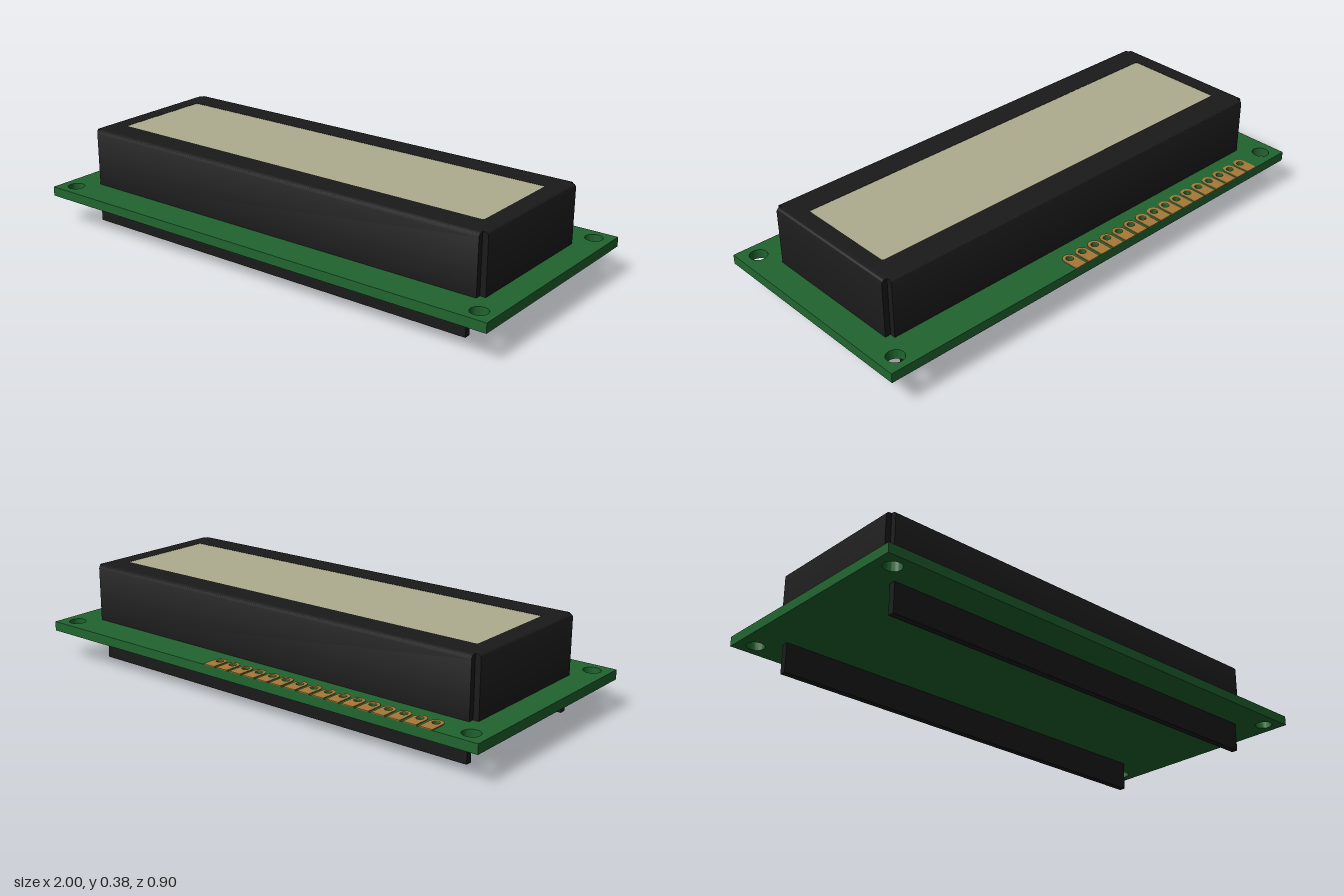
import * as THREE from 'three';
import { toCreasedNormals } from 'three/addons/utils/BufferGeometryUtils.js';

const mat = (color) => new THREE.MeshStandardMaterial({ color });
const BOARD_BOTTOM = 0.113, BOARD_TOP = 0.15, TOP = 0.375;
const HALF_X = 0.877, HALF_Z = 0.291, SHEET = 0.022; // bezel panel and sheet thickness
const PIN_Z = -0.39;

function roundedRect(path, x0, y0, x1, y1, r) {
  path.moveTo(x0 + r, y0);
  path.lineTo(x1 - r, y0);
  path.absarc(x1 - r, y0 + r, r, -Math.PI / 2, 0, false);
  path.lineTo(x1, y1 - r);
  path.absarc(x1 - r, y1 - r, r, 0, Math.PI / 2, false);
  path.lineTo(x0 + r, y1);
  path.absarc(x0 + r, y1 - r, r, Math.PI / 2, Math.PI, false);
  path.lineTo(x0, y0 + r);
  path.absarc(x0 + r, y0 + r, r, Math.PI, Math.PI * 1.5, false);
  return path;
}

function rect(x, z) {
  return new THREE.Shape([[-x, -z], [x, -z], [x, z], [-x, z]].map((p) => new THREE.Vector2(...p)));
}

// Circular hole in plan; plan shapes use (x, -z)
function hole(x, z, r) {
  return new THREE.Path().absarc(x, -z, r, 0, Math.PI * 2, true);
}

// Horizontal slab from a plan shape, between heights y0 and y1
function slab(shape, y0, y1, curveSegments = 12) {
  const g = new THREE.ExtrudeGeometry(shape, { depth: y1 - y0, bevelEnabled: false, curveSegments });
  g.rotateX(-Math.PI / 2).translate(0, y0, 0);
  return toCreasedNormals(g, 0.7);
}

export function createModel() {
  const model = new THREE.Group();
  const green = mat(0x20652f), black = mat(0x1a1a1a), copper = mat(0xa87838), glass = mat(0xaead8f);
  const add = (name, geometry, material, parent = model) => {
    const mesh = new THREE.Mesh(geometry, material);
    mesh.name = name;
    parent.add(mesh);
    return mesh;
  };

  // Circuit board with mounting holes and a row of pin holes
  const pinX = Array.from({ length: 16 }, (_, i) => -0.802 + i * 0.0635);
  const board = rect(1, 0.449);
  for (const x of [-0.935, 0.935]) {
    for (const z of [-0.388, 0.388]) board.holes.push(hole(x, z, 0.033));
  }
  for (const x of pinX) board.holes.push(hole(x, PIN_Z, 0.014));
  add('circuitBoard', slab(board, BOARD_BOTTOM, BOARD_TOP, 16), green);

  // Copper pads: square at the board edge, round around the pin hole
  const pads = new THREE.Group();
  pads.name = 'contactPads';
  model.add(pads);
  const padShape = new THREE.Shape();
  padShape.moveTo(0.026, 0.449);
  padShape.lineTo(-0.026, 0.449);
  padShape.lineTo(-0.026, -PIN_Z);
  padShape.absarc(0, -PIN_Z, 0.026, Math.PI, Math.PI * 2, false);
  padShape.holes.push(hole(0, PIN_Z, 0.014));
  const padGeometry = slab(padShape, BOARD_TOP, BOARD_TOP + 0.003);
  for (const x of pinX) add('contactPad', padGeometry, copper, pads).position.x = x;

  // Bezel: top panel with a window, and four bent sides leaving notched corners
  const bezel = new THREE.Group();
  bezel.name = 'displayBezel';
  model.add(bezel);
  const panel = rect(HALF_X, HALF_Z);
  const window = [-0.827, -0.201, 0.825, 0.203, 0.008];
  panel.holes.push(roundedRect(new THREE.Path(), ...window));
  add('bezelPanel', slab(panel, TOP - SHEET, TOP), black, bezel);

  const r = 0.014;
  const profile = new THREE.Shape();
  profile.moveTo(0, BOARD_TOP);
  profile.lineTo(SHEET, BOARD_TOP);
  profile.lineTo(SHEET, TOP - r);
  profile.absarc(SHEET - r, TOP - r, r, 0, Math.PI / 2, false);
  profile.lineTo(0, TOP);
  for (let i = 0; i < 4; i++) {
    const [distance, half] = i % 2 ? [HALF_Z, HALF_X] : [HALF_X, HALF_Z];
    const g = new THREE.ExtrudeGeometry(profile, { depth: 2 * half, bevelEnabled: false, curveSegments: 6 });
    g.translate(distance, 0, -half).rotateY(-i * Math.PI / 2);
    add('bezelSide', toCreasedNormals(g, 0.6), black, bezel);
  }

  // Display glass, almost flush in the window
  add('displayGlass', slab(roundedRect(new THREE.Shape(), ...window), TOP - SHEET, TOP - 0.001), glass);

  // Two long rails under the board
  for (const [name, z] of [['frontRail', 0.305], ['backRail', -0.3]]) {
    const rail = add(name, new THREE.BoxGeometry(1.717, BOARD_BOTTOM, 0.025), black);
    rail.position.set(-0.014, BOARD_BOTTOM / 2, z);
  }
  return model;
}
